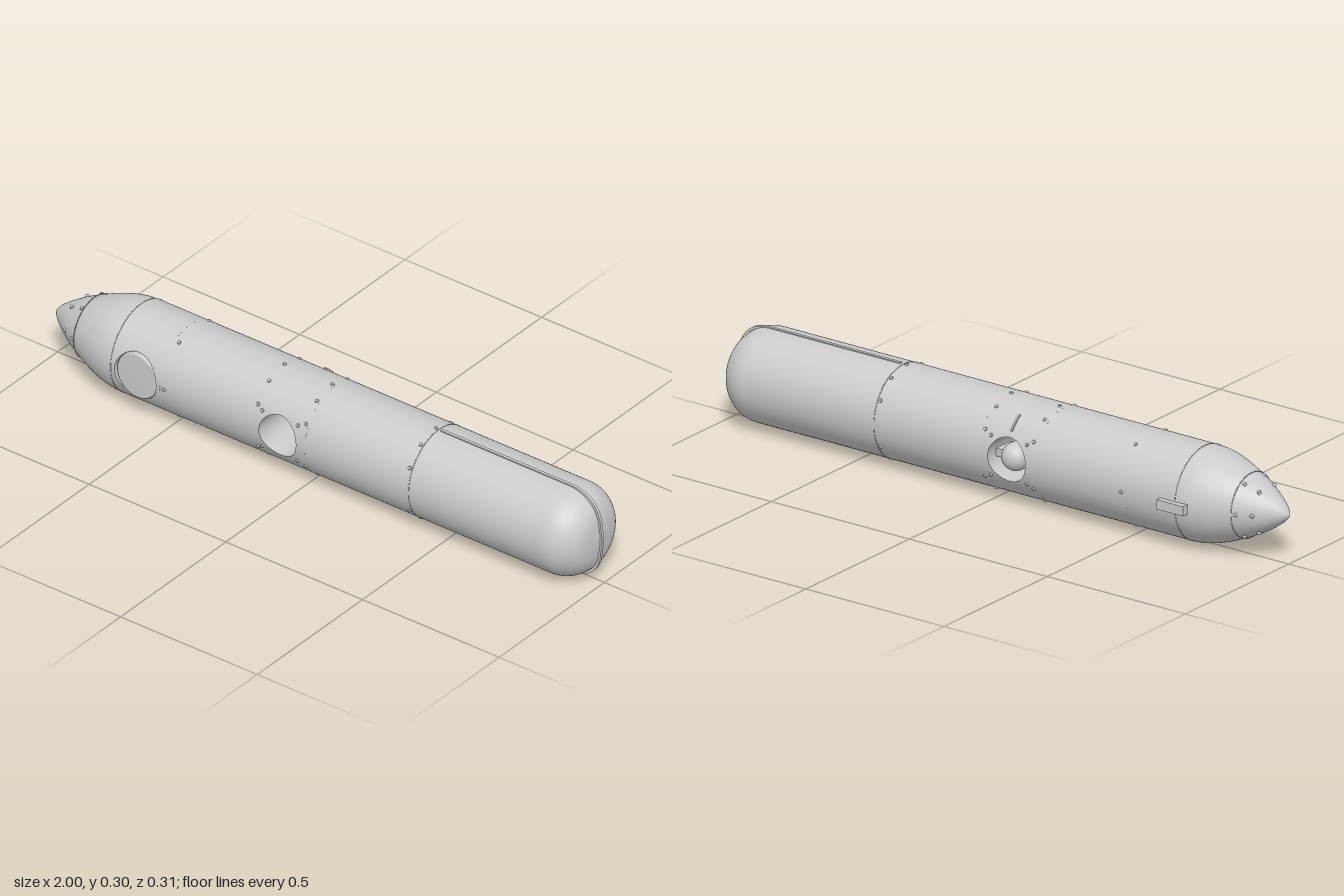
import * as THREE from 'three';

const R = 0.145;                 // hull radius
const THRUSTER_X = -0.08, HOLE_R = 0.068;
const HATCH_X = -0.6, HATCH_R = 0.076;
const PHI = 0.8;                 // half angle of the patch around an opening
const mat = new THREE.MeshStandardMaterial({ color: 0xcccccc });
const thin = new THREE.MeshStandardMaterial({ color: 0xcccccc, side: THREE.DoubleSide });

export function createModel() {
  const model = new THREE.Group();
  const vessel = new THREE.Group();
  vessel.name = 'vessel';
  vessel.position.set(0, 0.148, 0.007);
  model.add(vessel);

  const add = (name, geo, material = mat, parent = vessel) => {
    const mesh = new THREE.Mesh(geo, material);
    mesh.name = name;
    parent.add(mesh);
    return mesh;
  };

  // Surface swept over u, v in 0..1; radial normals for hull skin
  const surface = (f, nu, nv, radial = false) => {
    const pos = [], idx = [], nor = [];
    for (let i = 0; i <= nu; i++) for (let j = 0; j <= nv; j++) {
      const p = f(i / nu, j / nv);
      pos.push(...p);
      nor.push(0, p[1] / R, p[2] / R);
      if (i < nu && j < nv) {
        const a = i * (nv + 1) + j, b = a + nv + 1;
        idx.push(a, b, b + 1, a, b + 1, a + 1);
      }
    }
    const g = new THREE.BufferGeometry();
    g.setAttribute('position', new THREE.Float32BufferAttribute(pos, 3));
    g.setIndex(idx);
    if (radial) g.setAttribute('normal', new THREE.Float32BufferAttribute(nor, 3));
    else g.computeVertexNormals();
    return g;
  };
  const onHull = (x, phi, r = R) => [x, r * Math.sin(phi), r * Math.cos(phi)];

  // Plain hull band between two stations and two angles
  const band = (x0, x1, a0, a1) => add('hullBand', surface((u, v) =>
    onHull(x0 + (x1 - x0) * u, a0 + (a1 - a0) * v), 1, 72, true));

  // Hull patch with a round opening cut through it
  const holePatch = (cx, half, r, base) => add('hullOpening', surface((u, v) => {
    const t = v * Math.PI * 2, c = Math.cos(t), s = Math.sin(t);
    const m = Math.max(Math.abs(c), Math.abs(s));
    const x = THREE.MathUtils.lerp(r * c, half * c / m, u);
    const phi = THREE.MathUtils.lerp(Math.asin(r * s / R), PHI * s / m, u);
    return onHull(cx + x, base + phi);
  }, 8, 96, true));

  // Wall of an opening, its rims following the hull
  const holeWall = (name, cx, r, zBack) => add(name, surface((u, v) => {
    const t = v * Math.PI * 2, y = r * Math.sin(t);
    const z = Math.sqrt(R * R - y * y);
    return [cx + r * Math.cos(t), y, THREE.MathUtils.lerp(zBack ?? -z, z, u)];
  }, 4, 96), thin);

  // Lathe about the long axis, points given as [radius, x]
  const latheX = (pts) => new THREE.LatheGeometry(
    pts.map(([r, x]) => new THREE.Vector2(r, x)), 72).rotateZ(-Math.PI / 2);

  // Middle hull
  const full = Math.PI * 2;
  band(-0.69, -0.51, PHI, full - PHI);
  holePatch(HATCH_X, 0.09, HATCH_R, 0);
  band(-0.51, -0.18, 0, full);
  band(-0.18, 0.02, PHI, Math.PI - PHI);
  band(-0.18, 0.02, Math.PI + PHI, full - PHI);
  holePatch(THRUSTER_X, 0.1, HOLE_R, 0);
  holePatch(THRUSTER_X, 0.1, HOLE_R, Math.PI);
  band(0.02, 0.88, 0, full);

  // Pointed nose
  const noseCurve = new THREE.SplineCurve([
    [0, -1], [0.029, -0.975], [0.07, -0.915], [0.105, -0.845], [0.13, -0.78], [0.142, -0.73], [R, -0.69],
  ].map(([r, x]) => new THREE.Vector2(r, x)));
  const nosePts = noseCurve.getPoints(40).map((p) => [Math.max(p.x, 0), p.y]);
  const noseRadius = (x) => {
    const i = nosePts.findIndex((p) => p[1] >= x);
    return nosePts[i][0];
  };
  add('nose', latheX(nosePts));

  // Blunt rounded tail
  const tailPts = [];
  for (let i = 0; i <= 16; i++) {
    const a = (i / 16) * Math.PI / 2 * 0.93;
    tailPts.push([0.045 + 0.1 * Math.cos(a), 0.88 + 0.108 * Math.sin(a)]);
  }
  tailPts.push([0.028, 0.992], [0, 0.994]);
  add('tail', latheX(tailPts));

  // Thin seams between hull sections
  for (const [x, r] of [[-0.86, noseRadius(-0.86)], [-0.69, R], [0.4, R]]) {
    add('seam', new THREE.TorusGeometry(r, 0.0012, 6, 72).rotateY(Math.PI / 2)).position.x = x;
  }

  // Keel strip running over the top, tail end and bottom
  const h = R + 0.003;
  const strip = new THREE.Shape();
  strip.moveTo(0.41, -h);
  strip.lineTo(0.885, -h);
  strip.bezierCurveTo(0.96, -h, 0.993, -0.1, 0.996, -0.04);
  strip.quadraticCurveTo(1.004, 0, 0.996, 0.04);
  strip.bezierCurveTo(0.993, 0.1, 0.96, h, 0.885, h);
  strip.lineTo(0.41, h);
  strip.closePath();
  add('keelStrip', new THREE.ExtrudeGeometry(strip, { depth: 0.01, bevelEnabled: false, curveSegments: 20 })
    .translate(0, 0, -0.005));

  // Round hatch set in the front side
  holeWall('hatchWall', HATCH_X, HATCH_R, 0.1);
  const hatch = new THREE.LatheGeometry([[0.074, 0.1], [0.074, 0.131], [0.073, 0.135], [0.07, 0.137], [0, 0.137]]
    .map(([r, z]) => new THREE.Vector2(r, z)), 64).rotateX(Math.PI / 2);
  add('hatch', hatch).position.x = HATCH_X;

  // Cross tunnel with its thruster pod
  holeWall('tunnel', THRUSTER_X, HOLE_R);
  const thruster = new THREE.Group();
  thruster.name = 'thruster';
  thruster.position.x = THRUSTER_X;
  vessel.add(thruster);
  const pod = [];
  for (let i = 0; i <= 12; i++) {
    const a = (i / 12) * Math.PI / 2;
    pod.push(new THREE.Vector2(0.043 * Math.sin(a), -0.098 - 0.043 * Math.cos(a)));
  }
  for (const [r, z] of [[0.042, -0.07], [0.036, -0.03], [0.024, 0.01], [0.02, 0.04], [0.014, 0.05], [0, 0.054]]) {
    pod.push(new THREE.Vector2(r, z));
  }
  add('pod', new THREE.LatheGeometry(pod, 40).rotateX(Math.PI / 2), mat, thruster);
  add('strut', new THREE.BoxGeometry(0.05, 0.024, 0.07), mat, thruster).position.set(0.045, 0, -0.07);

  // Flat block on the back side of the nose joint
  add('sideBlock', new THREE.BoxGeometry(0.096, 0.03, 0.04)).position.set(-0.685, 0, -0.142);

  // Slim curved fin above the rear tunnel mouth
  const fin = new THREE.Shape();
  fin.absarc(0, 0, R + 0.005, 0.62, 1.0, false);
  fin.absarc(0, 0, R - 0.005, 1.0, 0.62, true);
  add('curvedFin', new THREE.ExtrudeGeometry(fin, { depth: 0.006, bevelEnabled: false })
    .rotateY(Math.PI / 2)).position.x = THRUSTER_X - 0.003;

  // Small studs ringed around the hull and nose
  const stud = new THREE.CylinderGeometry(0.005, 0.007, 0.008, 10);
  const addStud = (x, phi, r) => {
    const m = add('stud', stud);
    m.position.set(...onHull(x, phi, r));
    m.rotation.x = Math.PI / 2 - phi;
  };
  const deg = Math.PI / 180;
  for (const x of [-0.165, 0.01, 0.39]) {
    for (let a = 30; a < 360; a += 30) if (a !== 180) addStud(x, a * deg, R);
  }
  for (let a = 0; a < 360; a += 60) addStud(-0.495, a * deg, R);
  for (const a of [25, -25, 155, 205]) for (const s of [-1, 1]) addStud(THRUSTER_X + s * 0.065, a * deg, R);
  for (const x of [-0.915, -0.87]) {
    for (let a = 0; a < 360; a += 60) addStud(x, a * deg, noseRadius(x));
  }

  return model;
}
